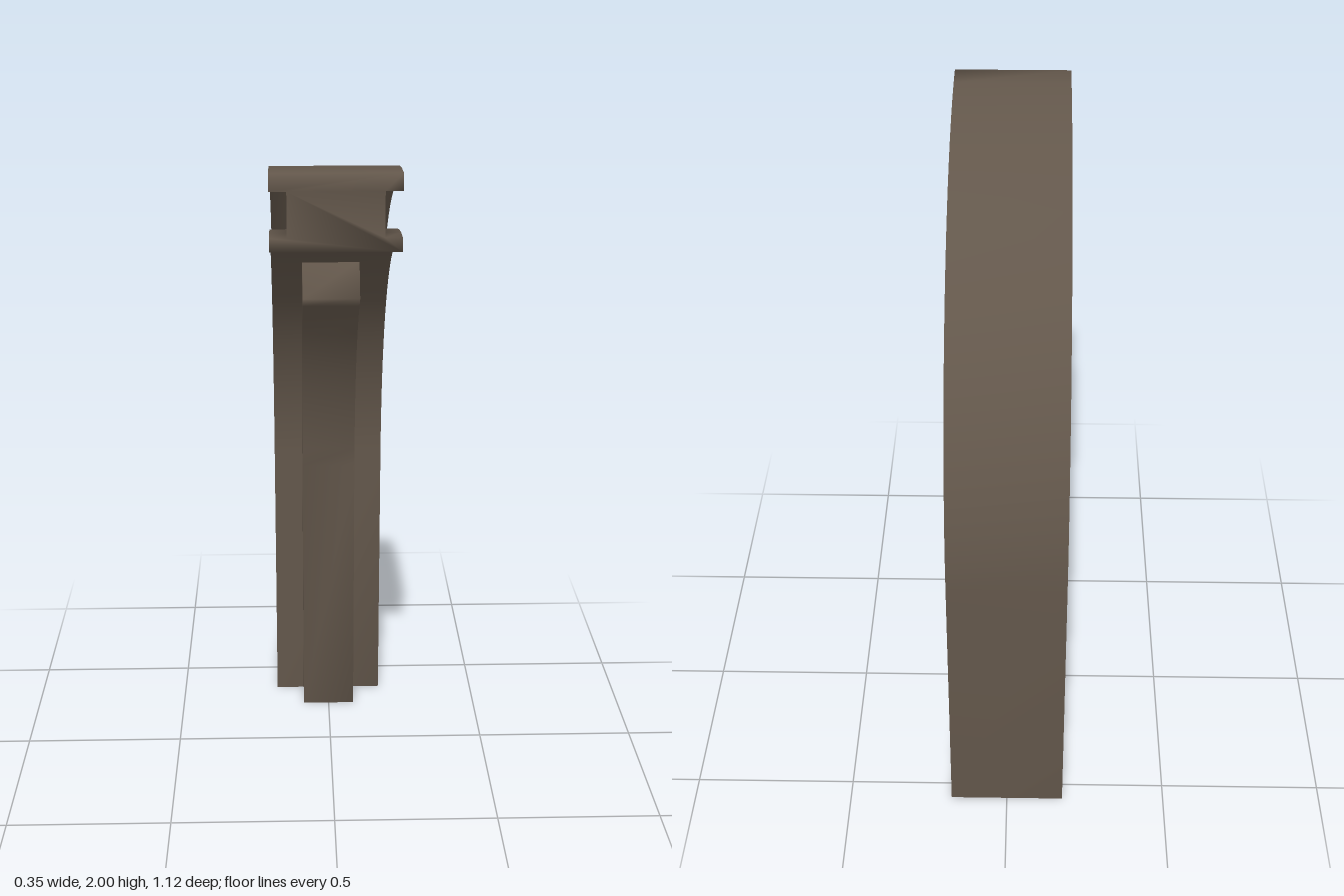
import * as THREE from 'three';

const CENTRE_Y = 0.88, CENTRE_Z = 0.56; // centre of the bend

// Sweeps a closed profile of (x, radius) points up a straight post and round the bend
function sweep(profile, endAngle, segments) {
  const n = profile.length, pos = [], index = [];
  const ring = (y, a) => profile.forEach(([x, r]) =>
    pos.push(x, y + r * Math.sin(a), CENTRE_Z - r * Math.cos(a)));

  ring(0, 0);
  for (let i = 0; i <= segments; i++) ring(CENTRE_Y, (endAngle * i) / segments);

  // side walls
  const last = segments + 1;
  for (let i = 0; i < last; i++) {
    for (let j = 0; j < n; j++) {
      const a = i * n + j, b = i * n + ((j + 1) % n);
      index.push(a, b, b + n, a, b + n, a + n);
    }
  }
  // end caps
  const contour = profile.map(([x, r]) => new THREE.Vector2(x, r));
  for (const [a, b, c] of THREE.ShapeUtils.triangulateShape(contour, [])) {
    index.push(a, c, b, last * n + a, last * n + b, last * n + c);
  }

  const g = new THREE.BufferGeometry();
  g.setAttribute('position', new THREE.Float32BufferAttribute(pos, 3));
  g.setIndex(index);
  g.computeVertexNormals();
  return g;
}

export function createModel() {
  const group = new THREE.Group();
  group.name = 'curvedSupportBeam';
  const brown = new THREE.MeshStandardMaterial({ color: 0x63574b });
  brown.name = 'dark brown';

  const add = (name, geometry) => {
    const mesh = new THREE.Mesh(geometry, brown);
    mesh.name = name;
    group.add(mesh);
  };

  // I-shaped section: inner flange, web, outer flange
  const half = [[0.177, 0.91], [0.177, 0.948], [0.13, 0.948],
    [0.13, 1.072], [0.177, 1.072], [0.177, 1.12]];
  const mirrored = half.map(([x, r]) => [-x, r]).reverse();
  add('flangedBeam', sweep([...half, ...mirrored], Math.PI / 2, 20));

  // narrower rib along the inside, stopping part way round the bend
  const rib = [[-0.085, 0.795], [0.085, 0.795], [0.085, 0.915], [-0.085, 0.915]];
  add('innerRib', sweep(rib, THREE.MathUtils.degToRad(56.3), 13));

  return group;
}
